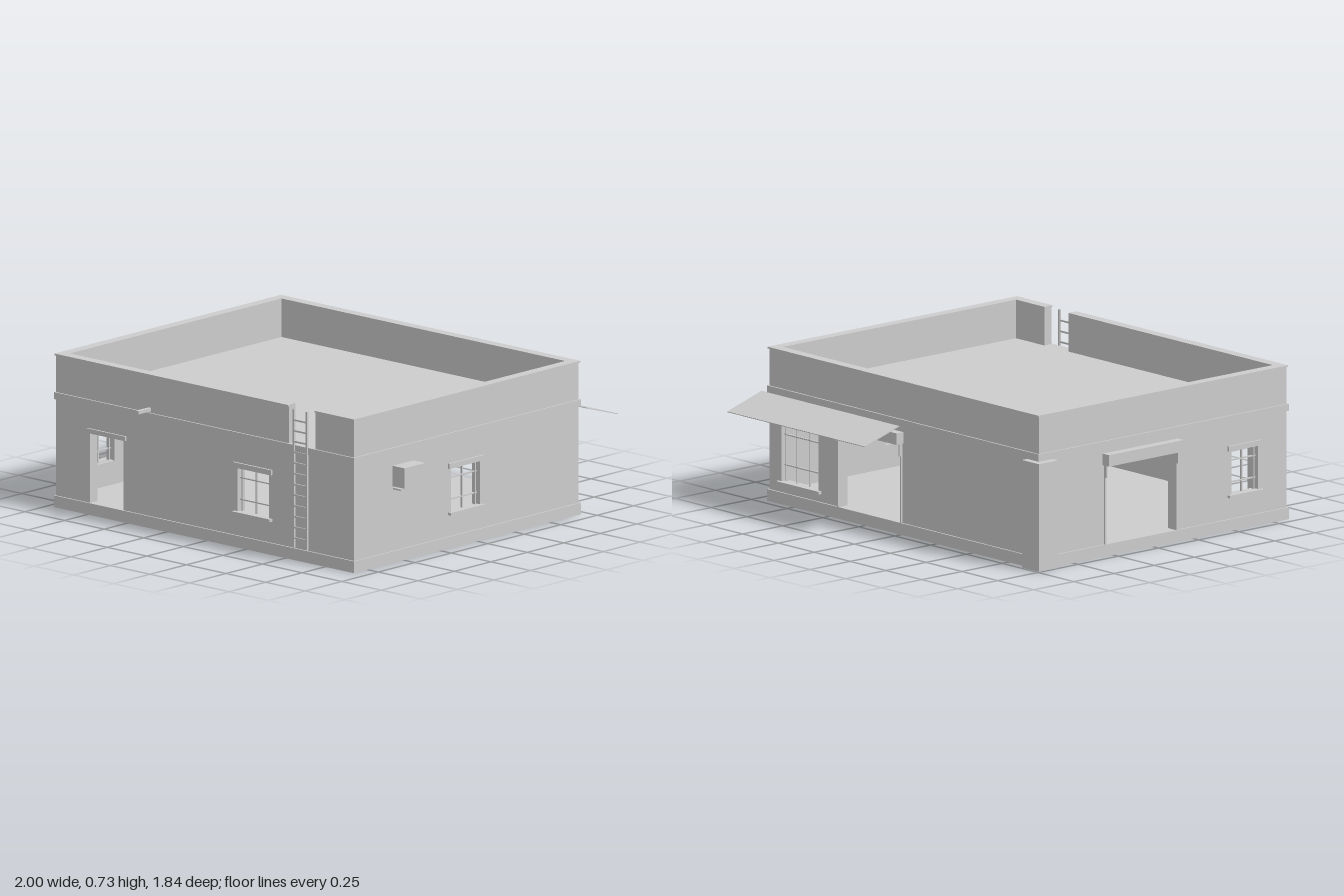
import * as THREE from 'three';

const X0 = -0.955, X1 = 0.925, Z0 = -0.705, Z1 = 0.835; // outer wall faces
const T = 0.05; // wall thickness
const plaster = new THREE.MeshStandardMaterial({ color: 0xcccccc });
plaster.name = 'plaster grey';
const sheet = plaster.clone();
sheet.name = 'sheet grey';
sheet.side = THREE.DoubleSide;

// Box given by its min and max on each axis
function box(parent, name, x0, x1, y0, y1, z0, z1) {
  const m = new THREE.Mesh(new THREE.BoxGeometry(x1 - x0, y1 - y0, z1 - z0), plaster);
  m.position.set((x0 + x1) / 2, (y0 + y1) / 2, (z0 + z1) / 2);
  m.name = name;
  parent.add(m);
  return m;
}

function rectPoints(x0, x1, y0, y1) {
  return [[x0, y0], [x1, y0], [x1, y1], [x0, y1]].map(p => new THREE.Vector2(...p));
}

// One facade in its own frame: u to the viewer's right, y up, +z outwards
function facade(name, x, z, turn, u0, u1, openings) {
  const g = new THREE.Group();
  g.name = name;
  g.position.set(x, 0, z);
  g.rotation.y = turn;
  const shape = new THREE.Shape(rectPoints(u0, u1, 0.03, 0.53));
  for (const o of openings) shape.holes.push(new THREE.Path(rectPoints(...o)));
  const geo = new THREE.ExtrudeGeometry(shape, { depth: T, bevelEnabled: false });
  geo.translate(0, 0, -T);
  const wall = new THREE.Mesh(geo, plaster);
  wall.name = name + 'Wall';
  g.add(wall);
  return g;
}

// Frame, glazing bars, lintel and sill around a window opening
function windowTrim(g, [a, b, c, d], bars) {
  const w = 0.006;
  for (const u of [a + 0.013, b - 0.013]) box(g, 'windowPost', u - w / 2, u + w / 2, c, d, -0.03, -0.015);
  for (let i = 1; i <= bars; i++) {
    const u = a + (b - a) * i / (bars + 1);
    box(g, 'verticalBar', u - w / 2, u + w / 2, c, d, -0.027, -0.018);
  }
  for (const f of [0.27, 0.76]) {
    const y = c + (d - c) * f;
    box(g, 'crossBar', a, b, y - w / 2, y + w / 2, -0.027, -0.018);
  }
  box(g, 'windowLintel', a - 0.02, b + 0.02, d, d + 0.025, -0.01, 0.01);
  box(g, 'windowSill', a - 0.02, b + 0.02, c - 0.01, c + 0.003, -0.03, 0.018);
}

// Roller housing with side rails and small brackets over a wide gateway
function gatewayTrim(g, [a, b, c, d]) {
  box(g, 'rollerHousing', a - 0.015, b + 0.015, d, d + 0.055, -0.01, 0.043);
  for (const s of [[a - 0.008, a], [b, b + 0.008]]) {
    box(g, 'gatewayRail', s[0], s[1], c, d, -0.02, 0.008);
    box(g, 'housingBracket', s[0], s[1], d - 0.06, d, 0, 0.018);
  }
}

// Parapet ring in plan, broken by the ladder gap; o widens it outwards
function parapet(name, y, h, o) {
  const gapL = 0.515, gapR = 0.682, p = T - 0.005;
  const plan = [
    [gapL, Z1 + o], [X0 - o, Z1 + o], [X0 - o, Z0 - o], [X1 + o, Z0 - o], [X1 + o, Z1 + o], [gapR, Z1 + o],
    [gapR, Z1 - p], [X1 - p, Z1 - p], [X1 - p, Z0 + p], [X0 + p, Z0 + p], [X0 + p, Z1 - p], [gapL, Z1 - p]
  ].map(([x, z]) => new THREE.Vector2(x, -z));
  const geo = new THREE.ExtrudeGeometry(new THREE.Shape(plan), { depth: h, bevelEnabled: false });
  geo.rotateX(-Math.PI / 2);
  const m = new THREE.Mesh(geo, plaster);
  m.position.y = y;
  m.name = name;
  return m;
}

export function createModel() {
  const model = new THREE.Group();
  model.name = 'flatRoofBuilding';

  // Plinth with floor, and roof slab with its projecting band
  const e = 0.008;
  box(model, 'plinth', X0 - e, X1 + e, 0, 0.056, Z0 - e, Z1 + e);
  box(model, 'roofSlab', X0 - e, X1 + e, 0.517, 0.55, Z0 - e, Z1 + e);
  model.add(parapet('parapet', 0.55, 0.176, 0));
  model.add(parapet('parapetCap', 0.726, 0.008, 0.006));

  // Front: door, window, ladder, spout
  const door = [-0.74, -0.53, 0.056, 0.39], frontWin = [0.19, 0.39, 0.168, 0.38];
  const front = facade('front', 0, Z1, 0, X0, X1, [door, frontWin]);
  box(front, 'doorLintel', -0.758, -0.512, 0.39, 0.412, -0.01, 0.009);
  windowTrim(front, frontWin, 1);
  box(front, 'roofSpout', -0.372, -0.355, 0.558, 0.574, -0.02, 0.086);
  const ladder = new THREE.Group();
  ladder.name = 'ladder';
  front.add(ladder);
  for (const u of [0.55, 0.632]) box(ladder, 'ladderRail', u, u + 0.009, 0.06, 0.722, 0.004, 0.014);
  for (let i = 0; i < 12; i++) {
    const y = 0.106 + i * 0.0513;
    box(ladder, 'ladderRung', 0.555, 0.636, y - 0.004, y + 0.004, 0.006, 0.012);
  }

  // Right side (+x): window and cooling unit; u = -z
  const sideWin = [-0.17, 0.027, 0.168, 0.38];
  const right = facade('rightSide', X1, 0, Math.PI / 2, -Z1 + T, -Z0 - T, [sideWin]);
  windowTrim(right, sideWin, 1);
  box(right, 'coolingUnit', -0.57, -0.427, 0.365, 0.463, -0.01, 0.075);
  box(right, 'coolingUnitBracket', -0.567, -0.43, 0.35, 0.357, 0, 0.05);

  // Back: gateway and tall window; u = -x
  const backGate = [-0.435, -0.005, 0.056, 0.435], backWin = [-0.84, -0.58, 0.105, 0.4];
  const back = facade('back', 0, Z0, Math.PI, -X1, -X0, [backGate, backWin]);
  gatewayTrim(back, backGate);
  windowTrim(back, backWin, 2);

  // Left side (-x): gateway and window; u = z
  const leftGate = [-0.292, 0.145, 0.056, 0.435], leftWin = [0.49, 0.66, 0.168, 0.38];
  const left = facade('leftSide', X0, 0, -Math.PI / 2, Z0 + T, Z1 - T, [leftGate, leftWin]);
  gatewayTrim(left, leftGate);
  windowTrim(left, leftWin, 1);
  model.add(front, right, back, left);

  // Corner pillar at the back left
  box(model, 'cornerPillar', -0.994, -0.875, 0, 0.513, -0.738, -0.62);

  // Sloping sheet awning over the back openings
  const drop = 0.066, reach = 0.214;
  const awning = new THREE.Mesh(new THREE.BoxGeometry(0.96, 0.004, Math.hypot(drop, reach)), sheet);
  awning.name = 'awning';
  awning.position.set(0.493, 0.482, -0.816);
  awning.rotation.x = -Math.atan2(drop, reach);
  model.add(awning);

  return model;
}
